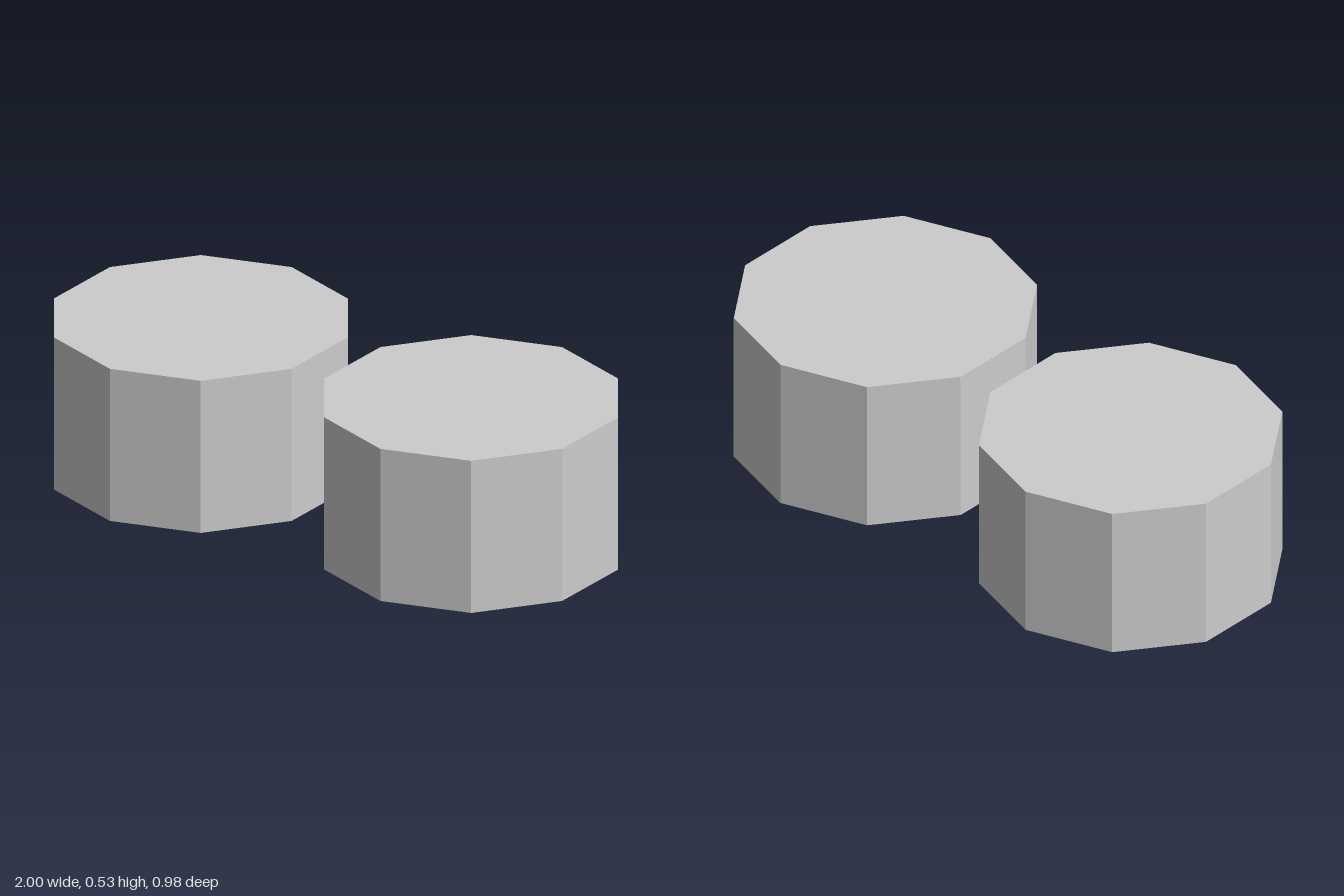
import * as THREE from 'three';

const RADIUS = 0.492;
const HEIGHT = 0.53;
const SIDES = 10;
// Place the outer flat faces exactly at x = -1 and x = 1
const OFFSET = 1 - RADIUS * Math.cos(Math.PI / SIDES);

export function createModel() {
  const model = new THREE.Group();
  const material = new THREE.MeshStandardMaterial({ color: 0xcccccc, flatShading: true });

  // Ten-sided drum with a corner facing the front, standing on the ground
  const geometry = new THREE.CylinderGeometry(RADIUS, RADIUS, HEIGHT, SIDES);
  geometry.translate(0, HEIGHT / 2, 0);

  // Mirrored pair, side by side
  for (const [name, side] of [['leftDrum', 1], ['rightDrum', -1]]) {
    const drum = new THREE.Mesh(geometry, material);
    drum.name = name;
    drum.position.x = side * OFFSET;
    model.add(drum);
  }
  return model;
}
